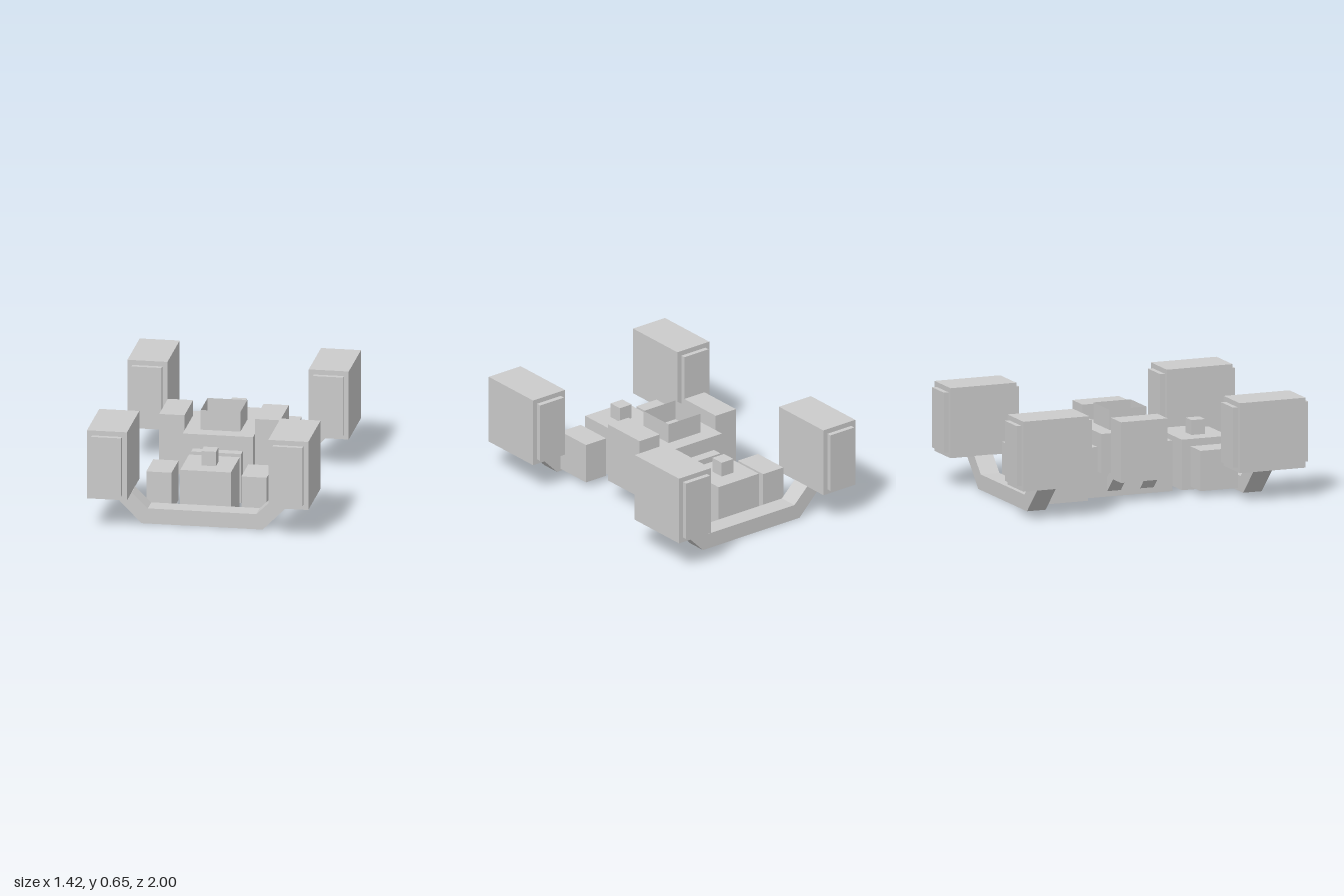
import * as THREE from 'three';

const material = new THREE.MeshStandardMaterial({ color: 0xcccccc, flatShading: true });
const thinMaterial = new THREE.MeshStandardMaterial({ color: 0xcccccc, flatShading: true, side: THREE.DoubleSide });

// Box given by its limits on each axis
function box(parent, name, [x0, x1], [y0, y1], [z0, z1]) {
  const mesh = new THREE.Mesh(new THREE.BoxGeometry(x1 - x0, y1 - y0, z1 - z0), material);
  mesh.position.set((x0 + x1) / 2, (y0 + y1) / 2, (z0 + z1) / 2);
  mesh.name = name;
  parent.add(mesh);
}

// Front-facing outline extruded between two z limits
function slab(parent, name, points, z0, z1) {
  const shape = new THREE.Shape(points.map(([x, y]) => new THREE.Vector2(x, y)));
  const geometry = new THREE.ExtrudeGeometry(shape, { depth: z1 - z0, bevelEnabled: false });
  const mesh = new THREE.Mesh(geometry, material);
  mesh.position.z = z0;
  mesh.name = name;
  parent.add(mesh);
}

// Limits mirrored to the chosen side
const side = (s, a, b) => (s > 0 ? [a, b] : [-b, -a]);

// Central hull with side pods, diagonal struts and an open collar
function createCore() {
  const core = new THREE.Group();
  core.name = 'core';
  box(core, 'keel', [-0.16, 0.16], [0, 0.325], [-0.29, 0.29]);
  box(core, 'hull', [-0.225, 0.225], [0.165, 0.42], [-0.225, 0.225]);
  for (const s of [1, -1]) {
    box(core, 'sidePod', side(s, 0.225, 0.387), [0.13, 0.52], [-0.16, 0.16]);
    const strut = [[0.15, 0.025], [0.255, 0.13], [0.24, 0.21], [0.15, 0.12]].map(([x, y]) => [s * x, y]);
    for (const z of [0.115, -0.11]) slab(core, 'strut', strut, z - 0.047, z + 0.047);
  }
  // Four thin walls, open above and below
  const collar = new THREE.Mesh(
    new THREE.CylinderGeometry(0.127 * Math.SQRT2, 0.127 * Math.SQRT2, 0.13, 4, 1, true, Math.PI / 4),
    thinMaterial
  );
  collar.position.y = 0.485;
  collar.name = 'collar';
  core.add(collar);
  return core;
}

// One end: crossbeam, engine block and a pair of tall pods
function createEnd() {
  const end = new THREE.Group();
  slab(end, 'crossbeam', [
    [-0.388, 0], [0.388, 0], [0.585, 0.2], [0.45, 0.2],
    [0.347, 0.1], [-0.347, 0.1], [-0.45, 0.2], [-0.585, 0.2],
  ], 0.678, 0.806);
  box(end, 'block', [-0.162, 0.162], [0, 0.325], [0.355, 0.678]);
  box(end, 'post', [-0.047, 0.047], [0.325, 0.42], [0.47, 0.565]);
  for (const s of [1, -1]) {
    box(end, 'sideBlock', side(s, 0.223, 0.385), [0.033, 0.292], [0.387, 0.645]);
    box(end, 'cornerPod', side(s, 0.452, 0.708), [0.198, 0.648], [0.517, 0.968]);
    box(end, 'cornerPodPanels', side(s, 0.484, 0.676), [0.23, 0.616], [0.485, 1]);
  }
  return end;
}

export function createModel() {
  const model = new THREE.Group();
  model.name = 'vehicle';
  const front = createEnd();
  front.name = 'frontEnd';
  const back = createEnd();
  back.name = 'backEnd';
  back.rotation.y = Math.PI;
  model.add(createCore(), front, back);
  return model;
}
